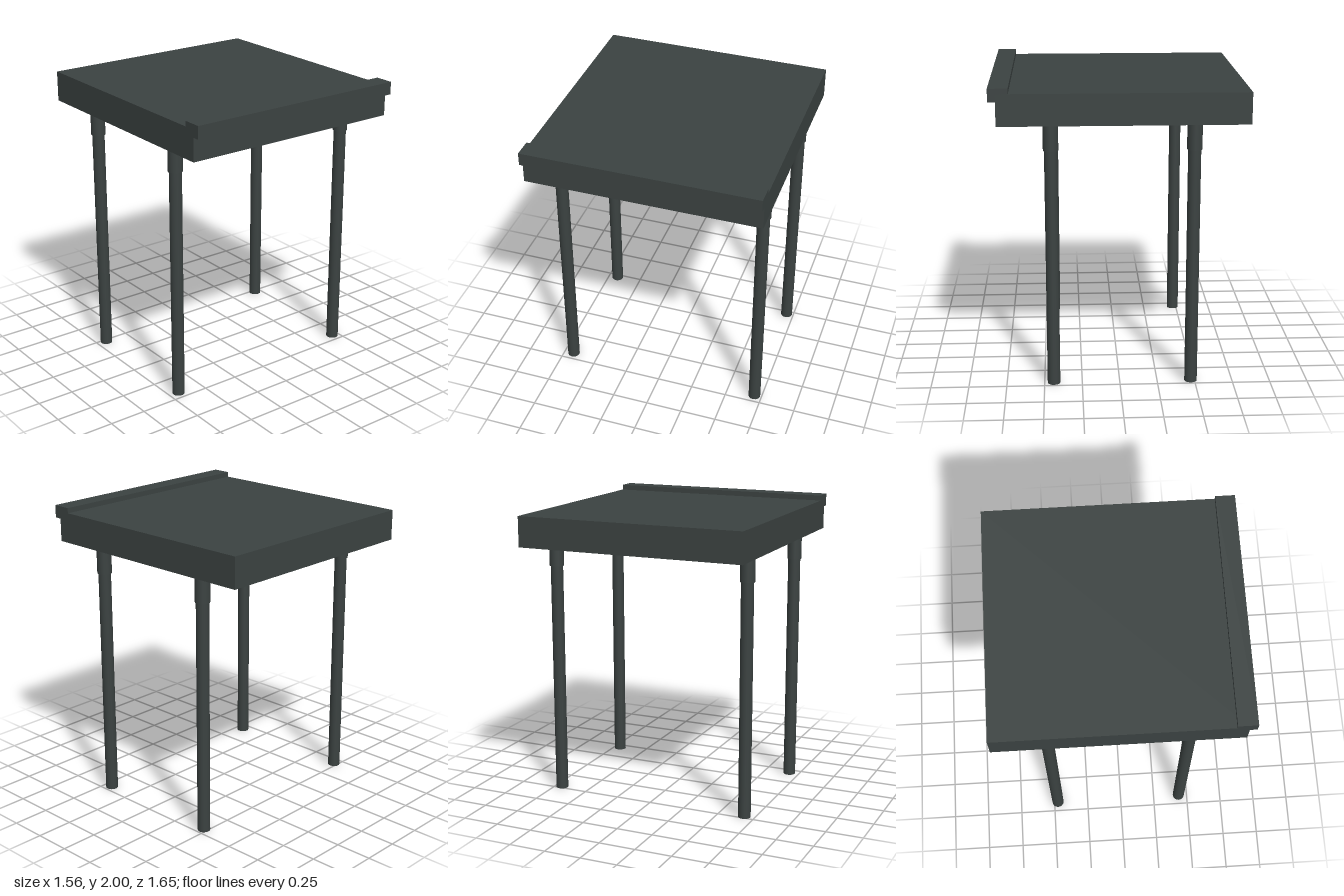
import * as THREE from 'three';

export function createModel() {
  const model = new THREE.Group();
  model.name = 'table';
  const charcoal = new THREE.MeshStandardMaterial({ color: 0x3b4241 });
  charcoal.name = 'charcoal';

  function add(parent, name, geometry, x, y, z) {
    const mesh = new THREE.Mesh(geometry, charcoal);
    mesh.name = name;
    mesh.position.set(x, y, z);
    parent.add(mesh);
  }

  // Box spanning the full table width, given by its y and z limits
  function slab(name, y0, y1, z0, z1) {
    add(model, name, new THREE.BoxGeometry(1.56, y1 - y0, z1 - z0), 0, (y0 + y1) / 2, (z0 + z1) / 2);
  }

  // Thick top and the raised lip overhanging its front edge
  slab('tableTop', 1.76, 1.965, -0.823, 0.775);
  slab('frontLip', 1.915, 2, 0.695, 0.823);

  // Round legs, each held in a slightly wider collar
  const legGeometry = new THREE.CylinderGeometry(0.042, 0.042, 1.76, 16);
  const collarGeometry = new THREE.CylinderGeometry(0.049, 0.049, 0.172, 16);
  for (const [side, x] of [['Right', -0.68], ['Left', 0.698]]) {
    for (const [end, z] of [['front', 0.438], ['back', -0.474]]) {
      const leg = new THREE.Group();
      leg.name = end + side + 'Leg';
      leg.position.set(x, 0, z);
      add(leg, 'legTube', legGeometry, 0, 0.88, 0);
      add(leg, 'legCollar', collarGeometry, 0, 1.674, 0);
      model.add(leg);
    }
  }
  return model;
}
